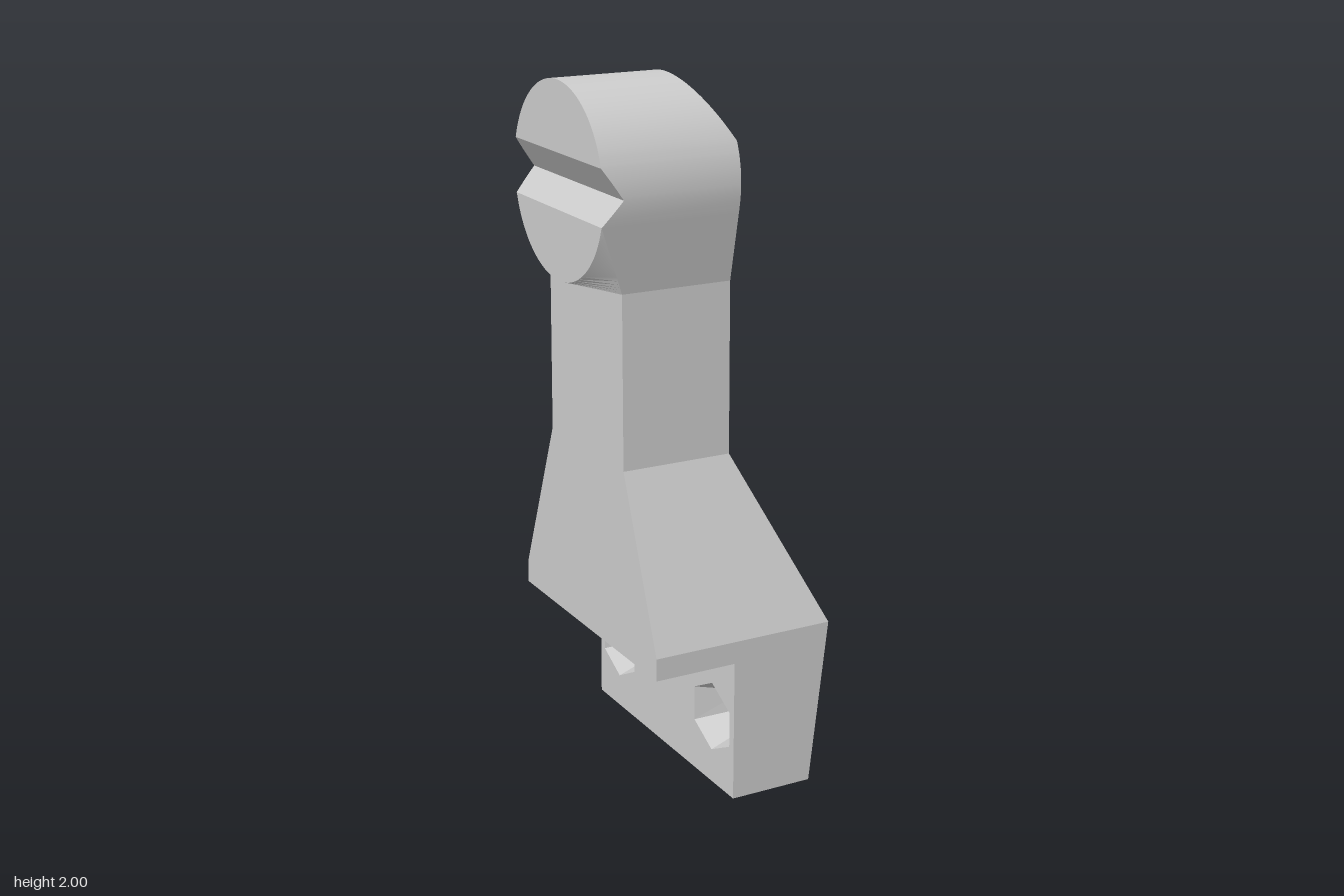
import * as THREE from 'three';
import { toCreasedNormals } from 'three/addons/utils/BufferGeometryUtils.js';

const lerp = THREE.MathUtils.lerp;
const material = new THREE.MeshStandardMaterial({ color: 0xcccccc });

// Stack of horizontal six-sided slices, mirrored in z.
// Slice: y, back x and half width, shoulder x, front x, half width.
function loft(slices) {
  const pos = [], idx = [], n = 6;
  for (const { y, xb, wb, xd, xf, w } of slices) {
    pos.push(xb, y, wb, xd, y, w, xf, y, w, xf, y, -w, xd, y, -w, xb, y, -wb);
  }
  for (let i = 0; i < slices.length - 1; i++) {
    for (let j = 0; j < n; j++) {
      const a = i * n + j, b = i * n + (j + 1) % n;
      idx.push(a, b, b + n, a, b + n, a + n);
    }
  }
  const top = (slices.length - 1) * n;
  for (let j = 1; j < n - 1; j++) {
    idx.push(0, j + 1, j, top, top + j, top + j + 1);
  }
  const g = new THREE.BufferGeometry();
  g.setAttribute('position', new THREE.Float32BufferAttribute(pos, 3));
  g.setIndex(idx);
  return toCreasedNormals(g, 0.35);
}

// Foot with sloped front and two hexagonal holes that narrow in the middle
function footGeometry() {
  const H = 0.415, W = 0.412, holeY = 0.203, holeZ = 0.287;
  const shape = new THREE.Shape([[-W, 0], [W, 0], [W, H], [-W, H]].map(p => new THREE.Vector2(...p)));
  for (const s of [-1, 1]) {
    const pts = [];
    for (let k = 0; k < 6; k++) {
      const a = Math.PI / 2 - k * Math.PI / 3;
      pts.push(new THREE.Vector2(s * holeZ + 0.116 * Math.cos(a), holeY + 0.104 * Math.sin(a)));
    }
    shape.holes.push(new THREE.Path(pts));
  }
  const g = new THREE.ExtrudeGeometry(shape, { depth: 1, steps: 2, bevelEnabled: false });
  const p = g.attributes.position;
  for (let i = 0; i < p.count; i++) {
    let u = p.getX(i), y = p.getY(i);
    const t = p.getZ(i), cz = Math.sign(u) * holeZ;
    const front = 0.26 + 0.055 * y / 0.48;
    // pinch the middle ring of each hole
    if (Math.abs(t - 0.5) < 0.1 && Math.abs(u - cz) < 0.12 && Math.abs(y - holeY) < 0.12) {
      u = cz + (u - cz) * 0.54;
      y = holeY + (y - holeY) * 0.54;
    }
    p.setXYZ(i, u, y, lerp(0.01, front, t));
  }
  g.rotateY(Math.PI / 2);
  g.computeVertexNormals();
  return g;
}

// Round head: keyhole outline, notch across the back, chamfered front top
function headSlices() {
  const R = 0.273, cy = 1.727, y0 = cy - R;
  const tangentY = 1.669, tangentW = 0.267;
  const circle = y => Math.sqrt(Math.max(0, R * R - (y - cy) ** 2));
  const ys = [1.65, 1.718, 1.805, 1.84, tangentY];
  for (let k = 0; k <= 40; k++) ys.push(cy + R * Math.sin((k / 40 - 0.5) * Math.PI));
  return ys.sort((a, b) => a - b).map(y => {
    const w = y < tangentY ? lerp(0.22, tangentW, (y - y0) / (tangentY - y0)) : circle(y);
    let xb = -0.315;
    if (y > 1.65 && y <= 1.718) xb = lerp(-0.315, -0.255, (y - 1.65) / 0.068);
    else if (y > 1.718 && y < 1.805) xb = lerp(-0.255, -0.315, (y - 1.718) / 0.087);
    const xd = y < 1.65 ? lerp(-0.235, -0.315, (y - y0) / (1.65 - y0)) : xb;
    const xf = y > 1.84 ? lerp(0.095, 0.008, (y - 1.84) / 0.16) : 0.095;
    return { y, xb, wb: y < 1.65 ? circle(y) : w, xd, xf, w };
  });
}

export function createModel() {
  const group = new THREE.Group();
  const add = (name, geometry) => {
    const mesh = new THREE.Mesh(geometry, material);
    mesh.name = name;
    group.add(mesh);
  };

  add('foot', footGeometry());

  // Flared base tapering into a straight column
  const slice = (y, xf, w) => ({ y, xb: -0.235, wb: w, xd: -0.235, xf, w });
  add('flaredColumn', loft([
    slice(0.415, 0.3075, 0.412),
    slice(0.48, 0.315, 0.412),
    slice(0.96, 0.095, 0.223),
    slice(1.454, 0.095, 0.22),
  ]));

  add('notchedHead', loft(headSlices()));
  return group;
}
